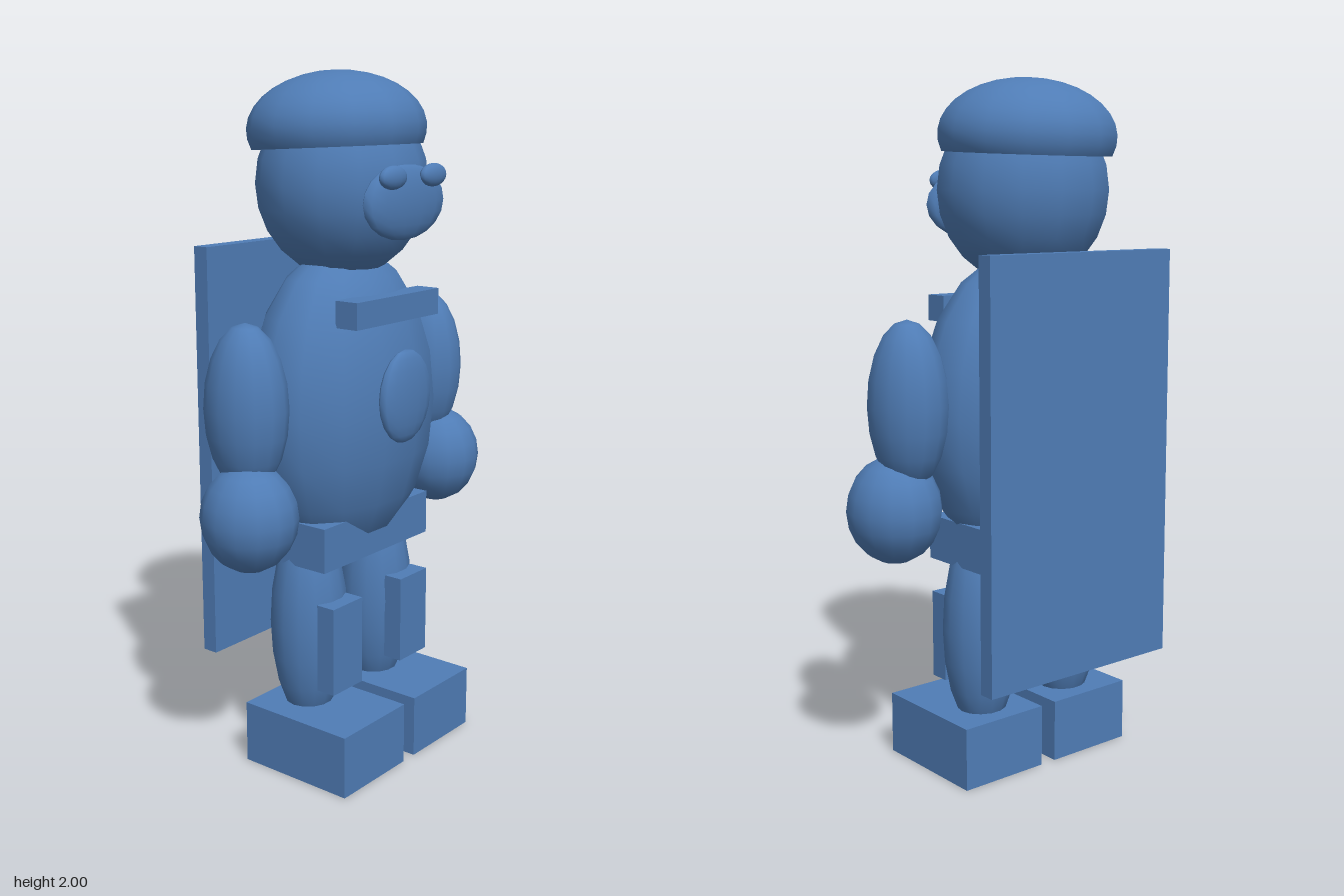
import * as THREE from 'three';

export function createModel() {
  const group = new THREE.Group();
  const blue = new THREE.MeshStandardMaterial({ color: 0x4f7cb5 });
  const blueOpen = new THREE.MeshStandardMaterial({ color: 0x4f7cb5, side: THREE.DoubleSide });
  blue.name = 'blue';
  blueOpen.name = 'blue two-sided';

  function add(name, geometry, [x, y, z], material = blue) {
    const mesh = new THREE.Mesh(geometry, material);
    mesh.name = name;
    mesh.position.set(x, y, z);
    group.add(mesh);
    return mesh;
  }

  // Ellipsoid given by centre and radii
  function ellipsoid(name, centre, radii, rings = 10) {
    return add(name, new THREE.SphereGeometry(1, 14, rings).scale(...radii), centre);
  }

  // Box given by centre and full size
  function box(name, centre, size) {
    return add(name, new THREE.BoxGeometry(...size), centre);
  }

  // Torso
  ellipsoid('body', [0, 1.06, 0], [0.34, 0.46, 0.224]);
  ellipsoid('bellyBadge', [0, 1.107, 0.225], [0.116, 0.134, 0.03]);
  box('collarBar', [0, 1.353, 0.164], [0.38, 0.075, 0.074]);
  box('pelvis', [0, 0.69, 0], [0.49, 0.13, 0.262]);
  box('backBoard', [0, 0.923, -0.241], [0.66, 1.2, 0.048]);

  // Head with a cut-off dome as cap, tipped slightly back
  ellipsoid('head', [0, 1.69, -0.003], [0.255, 0.265, 0.238], 12);
  const dome = new THREE.SphereGeometry(1, 14, 10, 0, Math.PI * 2, 0, Math.PI * 0.6);
  dome.scale(0.263, 0.16, 0.248);
  add('cap', dome, [0, 1.84, -0.022], blueOpen).rotation.x = -0.05;
  ellipsoid('muzzle', [0, 1.648, 0.215], [0.183, 0.104, 0.035]);

  // Mirrored parts
  for (const [side, s] of [['left', 1], ['right', -1]]) {
    ellipsoid(side + 'Eye', [s * 0.092, 1.718, 0.245], [0.057, 0.032, 0.02]);
    ellipsoid(side + 'Arm', [s * 0.41, 1.11, -0.003], [0.11, 0.235, 0.121]);
    ellipsoid(side + 'Hand', [s * 0.439, 0.818, 0.028], [0.133, 0.151, 0.138]);
    ellipsoid(side + 'Leg', [s * 0.158, 0.43, 0], [0.117, 0.32, 0.111]);
    box(side + 'KneePad', [s * 0.16, 0.384, 0.118], [0.132, 0.262, 0.06]);
    box(side + 'Foot', [s * 0.166, 0.092, 0.067], [0.281, 0.184, 0.372]);
  }
  return group;
}
